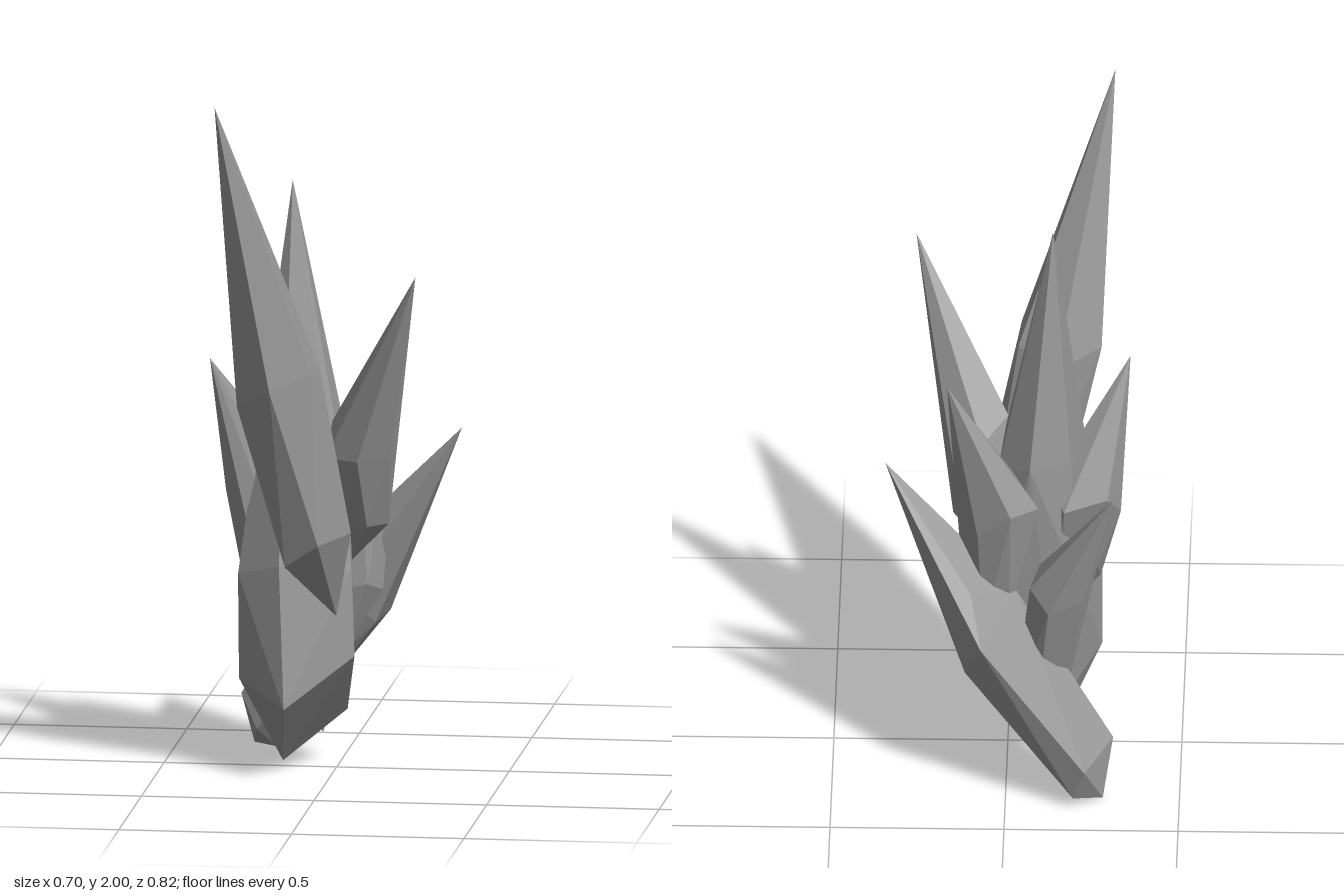
import * as THREE from 'three';
import { ConvexGeometry } from 'three/addons/geometries/ConvexGeometry.js';

const vec = (x, y, z) => new THREE.Vector3(x, y, z);
const UP = vec(0, 1, 0);
const SIDES = 6;
const material = new THREE.MeshStandardMaterial({ color: 0x999999, flatShading: true });

// Slightly uneven ring of corners around a centre, square to the given direction
function ring(center, radius, direction, phase) {
  const turn = new THREE.Quaternion().setFromUnitVectors(UP, direction);
  return Array.from({ length: SIDES }, (_, i) => {
    const a = phase + (i / SIDES) * Math.PI * 2;
    const lift = Math.sin(i * 2.4 + phase) * radius * 0.35;
    return vec(Math.cos(a) * radius, lift, Math.sin(a) * radius).applyQuaternion(turn).add(center);
  });
}

// Faceted crystal from foot to tip; each ring is { t: place along the axis, r: radius, dx, dz: sideways shift }
function crystal(name, foot, tip, rings, { phase, facing = tip.clone().sub(foot), corners = [] }) {
  const direction = facing.clone().normalize();
  const points = rings.flatMap(({ t, r, dx = 0, dz = 0 }, i) => {
    const center = foot.clone().lerp(tip, t).add(vec(dx, 0, dz));
    return ring(center, r, direction, phase + i * 0.25);
  });
  const mesh = new THREE.Mesh(new ConvexGeometry([foot, tip, ...points, ...corners]), material);
  mesh.name = name;
  return mesh;
}

export function createModel() {
  const group = new THREE.Group();
  group.name = 'crystalCluster';
  group.add(
    // Upright core with a blocky, uneven lower body
    crystal('centralCrystal', vec(-0.15, 0.02, 0.04), vec(-0.13, 1.71, -0.02), [
      { t: 0.56, r: 0.125, dx: 0.05, dz: -0.02 },
    ], {
      phase: 1.75,
      corners: [
        vec(-0.12, 0.21, 0.26), vec(0.07, 0.35, 0.14), vec(0.02, 0.15, -0.09),
        vec(-0.15, 0.17, -0.1), vec(-0.27, 0.27, 0.1),
        vec(-0.27, 0.58, 0.12), vec(-0.14, 0.62, 0.21), vec(0.06, 0.6, 0.13),
        vec(0.03, 0.62, -0.09), vec(-0.2, 0.6, -0.11),
      ],
    }),
    // Tallest crystal, leaning forward
    crystal('tallFrontCrystal', vec(0.02, 0.47, 0.16), vec(-0.3, 2, 0.41), [
      { t: 0.15, r: 0.12, dx: -0.01 },
      { t: 0.46, r: 0.135, dx: -0.015, dz: -0.03 },
    ], { phase: 0.3 }),
    // Spike on the front left
    crystal('frontLeftCrystal', vec(0.04, 0.6, 0), vec(0.27, 1.5, 0.32), [
      { t: 0.16, r: 0.085, dz: -0.01 },
      { t: 0.4, r: 0.105, dx: -0.05, dz: -0.01 },
    ], { phase: 0.2 }),
    // Long crystal lying across the back, with a flat sideways end
    crystal('longBackCrystal', vec(-0.28, 0, -0.32), vec(0.35, 0.98, -0.1), [
      { t: 0.1, r: 0.108, dx: -0.02, dz: -0.01 },
      { t: 0.52, r: 0.14, dx: 0.01, dz: -0.03 },
    ], { phase: Math.PI / 6, facing: vec(1, 0.2, 0.4) }),
    // Spike on the right side
    crystal('rightCrystal', vec(-0.12, 0.4, -0.03), vec(-0.35, 1.21, 0.13), [
      { t: 0.23, r: 0.085, dx: -0.02 },
      { t: 0.54, r: 0.11, dx: 0.02, dz: -0.09 },
    ], { phase: 0.8 }),
    // Spike on the back right
    crystal('backRightCrystal', vec(-0.05, 0.08, -0.09), vec(-0.31, 1, -0.33), [
      { t: 0.15, r: 0.08 },
      { t: 0.6, r: 0.09, dx: 0.055, dz: 0.015 },
    ], { phase: 0.5 }),
    // Spike on the back left
    crystal('backLeftCrystal', vec(0, 0.3, -0.08), vec(0.17, 1.3, -0.21), [
      { t: 0.2, r: 0.085 },
      { t: 0.57, r: 0.11, dx: -0.08 },
    ], { phase: 1 }),
  );
  return group;
}
